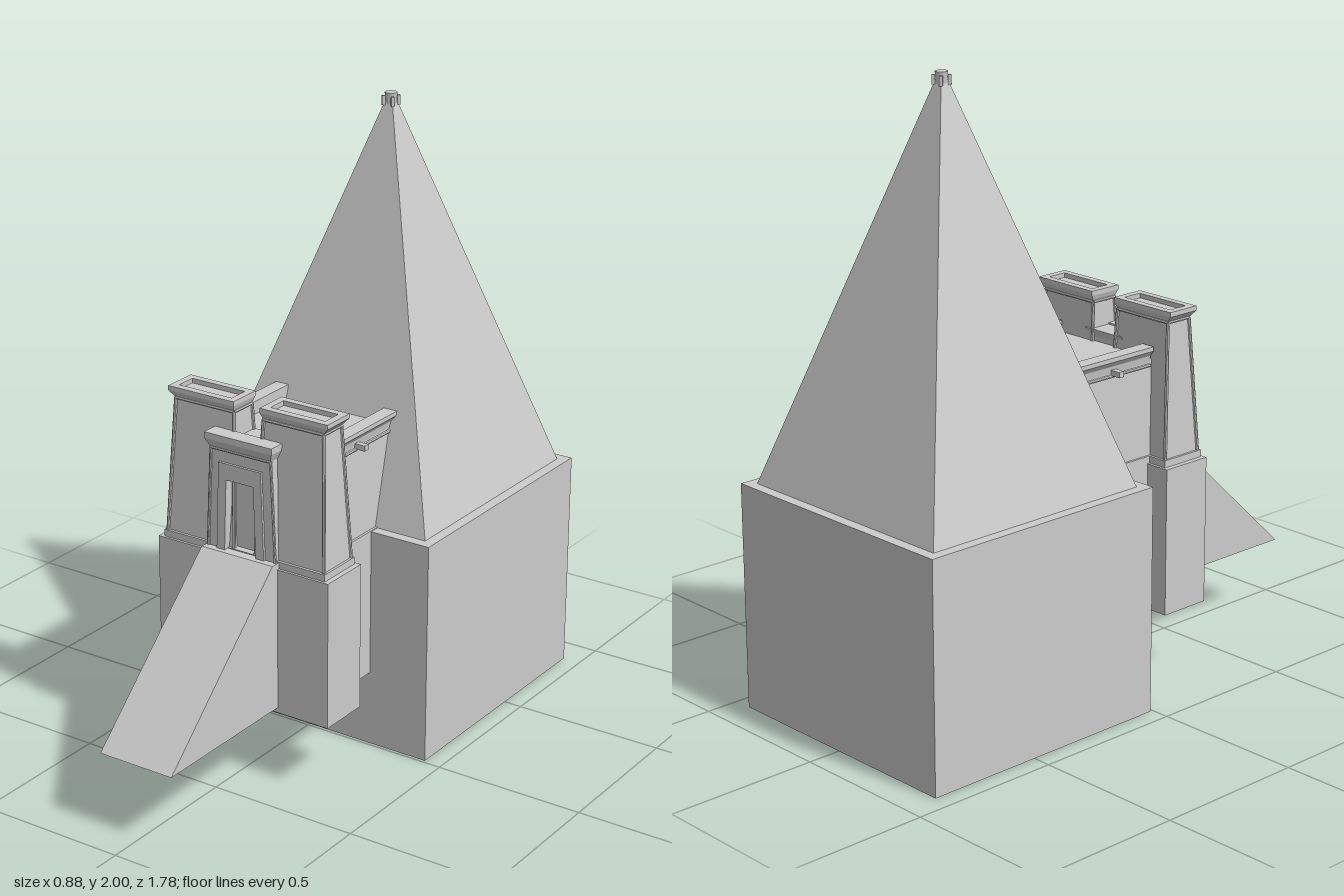
import * as THREE from 'three';

const stone = new THREE.MeshStandardMaterial({ color: 0xcccccc, flatShading: true });
const shell = new THREE.MeshStandardMaterial({ color: 0xcccccc, flatShading: true, side: THREE.DoubleSide });

function add(parent, name, geometry, material = stone) {
  const mesh = new THREE.Mesh(geometry, material);
  mesh.name = name;
  parent.add(mesh);
  return mesh;
}

// Box given by its limits on each axis
function block(parent, name, [x0, x1], [y0, y1], [z0, z1]) {
  const g = new THREE.BoxGeometry(x1 - x0, y1 - y0, z1 - z0);
  g.translate((x0 + x1) / 2, (y0 + y1) / 2, (z0 + z1) / 2);
  return add(parent, name, g);
}

// Box whose top rectangle differs from its bottom; each rectangle is [x0, x1, z0, z1]
function taper(parent, name, y0, y1, bottom, top) {
  const g = new THREE.BoxGeometry(1, 1, 1);
  const p = g.attributes.position;
  for (let i = 0; i < p.count; i++) {
    const up = p.getY(i) > 0;
    const r = up ? top : bottom;
    p.setXYZ(i, p.getX(i) < 0 ? r[0] : r[1], up ? y1 : y0, p.getZ(i) < 0 ? r[2] : r[3]);
  }
  g.computeVertexNormals();
  return add(parent, name, g);
}

// Thin round moulding between two points
function roll(parent, a, b, radius = 0.006) {
  const from = new THREE.Vector3(...a), to = new THREE.Vector3(...b);
  const dir = to.clone().sub(from);
  const mesh = add(parent, 'rollMoulding', new THREE.CylinderGeometry(radius, radius, dir.length(), 8));
  mesh.position.copy(from).add(to).multiplyScalar(0.5);
  mesh.quaternion.setFromUnitVectors(new THREE.Vector3(0, 1, 0), dir.normalize());
}

const shapeOf = pts => new THREE.Shape(pts.map(([x, y]) => new THREE.Vector2(x, y)));
const extrude = (shape, depth) => new THREE.ExtrudeGeometry(shape, { depth, bevelEnabled: false });

// Rectangular rim with an open middle, lying flat
function rim(parent, name, y0, y1, [x0, x1, z0, z1], border) {
  const rect = (b) => [[x0 + b, -z1 + b], [x1 - b, -z1 + b], [x1 - b, -z0 - b], [x0 + b, -z0 - b]];
  const s = shapeOf(rect(0));
  s.holes.push(shapeOf(rect(border)));
  const g = extrude(s, y1 - y0);
  g.rotateX(-Math.PI / 2);
  g.translate(0, y0, 0);
  return add(parent, name, g);
}

function makeTower() {
  const tower = new THREE.Group();
  tower.name = 'pylonTower';
  const low = [0.04, 0.292, 0.19, 0.333], high = [0.055, 0.272, 0.216, 0.308];
  const lip = [0.047, 0.292, 0.203, 0.318];
  taper(tower, 'towerBody', 0.735, 1.17, low, high);
  taper(tower, 'towerCornice', 1.17, 1.193, high, lip);
  rim(tower, 'towerParapet', 1.193, 1.208, lip, 0.024);
  // Roll mouldings on the corners and under the cornice
  for (const i of [0, 1]) {
    for (const k of [2, 3]) roll(tower, [low[i], 0.735, low[k]], [high[i], 1.17, high[k]]);
    roll(tower, [high[i], 1.17, high[2]], [high[i], 1.17, high[3]]);
    roll(tower, [high[0], 1.17, high[i + 2]], [high[1], 1.17, high[i + 2]]);
  }
  return tower;
}

function makeGate() {
  const gate = new THREE.Group();
  gate.name = 'gate';
  // Sloping frame with a doorway open at the foot
  const frame = shapeOf([[-0.125, 0.735], [-0.058, 0.735], [-0.05, 0.967], [0.05, 0.967],
    [0.058, 0.735], [0.125, 0.735], [0.11, 1.06], [-0.11, 1.06]]);
  const g = extrude(frame, 0.07);
  g.translate(0, 0, 0.28);
  add(gate, 'gateFrame', g);
  // Raised jambs and lintel
  const jambs = shapeOf([[-0.088, 0.735], [-0.058, 0.735], [-0.05, 0.967], [0.05, 0.967],
    [0.058, 0.735], [0.088, 0.735], [0.078, 1.02], [-0.078, 1.02]]);
  const j = extrude(jambs, 0.008);
  j.translate(0, 0, 0.35);
  add(gate, 'doorSurround', j);
  block(gate, 'doorPanel', [-0.07, 0.07], [0.735, 0.98], [0.28, 0.318]);
  taper(gate, 'gateCornice', 1.06, 1.09, [-0.11, 0.11, 0.28, 0.352], [-0.124, 0.124, 0.28, 0.366]);
  block(gate, 'gateTop', [-0.124, 0.124], [1.09, 1.11], [0.31, 0.366]);
  for (const s of [-1, 1]) roll(gate, [s * 0.125, 0.735, 0.35], [s * 0.11, 1.06, 0.35], 0.005);
  roll(gate, [-0.11, 1.06, 0.352], [0.11, 1.06, 0.352], 0.005);
  return gate;
}

export function createModel() {
  const model = new THREE.Group();
  model.name = 'pyramidWithTemple';

  // Hollow square base, open underneath
  const baseGeo = new THREE.BoxGeometry(0.88, 0.735, 0.88);
  const index = Array.from(baseGeo.index.array);
  index.splice(18, 6);
  baseGeo.setIndex(index);
  baseGeo.translate(0, 0.3675, -0.45);
  add(model, 'base', baseGeo, shell);

  // Steep pyramid
  taper(model, 'pyramid', 0.735, 1.975, [-0.405, 0.405, -0.855, -0.045], [-0.013, 0.013, -0.463, -0.437]);

  // Finial: round knob between four small corner blocks
  const finial = new THREE.Group();
  finial.name = 'finial';
  finial.position.set(0, 0, -0.45);
  model.add(finial);
  add(finial, 'knob', new THREE.CylinderGeometry(0.02, 0.016, 0.045, 12)).position.y = 1.9775;
  for (let i = 0; i < 4; i++) {
    const a = Math.PI / 4 + i * Math.PI / 2;
    const corner = add(finial, 'finialCorner', new THREE.BoxGeometry(0.01, 0.03, 0.01));
    corner.position.set(0.024 * Math.cos(a), 1.975, 0.024 * Math.sin(a));
    corner.rotation.y = -a;
  }

  const temple = new THREE.Group();
  temple.name = 'temple';
  temple.position.x = -0.003;
  model.add(temple);

  // Foundations under the hall and the pylon
  block(temple, 'hallFoundation', [-0.233, 0.233], [0.25, 0.738], [-0.68, 0.2]);
  block(temple, 'pylonFoundation', [-0.317, 0.317], [0.232, 0.715], [0.173, 0.35]);
  block(temple, 'pylonPlinth', [-0.3, 0.3], [0.715, 0.738], [0.182, 0.342]);

  // Entrance ramp
  const rampGeo = extrude(shapeOf([[0.89, 0.25], [0.375, 0.735], [0.1, 0.735], [0.1, 0.25]]), 0.265);
  rampGeo.rotateY(-Math.PI / 2);
  rampGeo.translate(0.1325, 0, 0);
  add(temple, 'ramp', rampGeo);

  // Hall with sloping walls running back into the pyramid
  taper(temple, 'hall', 0.738, 1.045, [-0.225, 0.225, -0.45, 0.24], [-0.21, 0.21, -0.45, 0.24]);
  for (const s of [-1, 1]) {
    const profile = [[0.18, 1.03], [0.21, 1.03], [0.214, 1.055], [0.228, 1.073], [0.228, 1.087], [0.18, 1.087]];
    const cornice = extrude(shapeOf(profile.map(([x, y]) => [s * x, y])), 0.65);
    cornice.translate(0, 0, -0.45);
    add(temple, 'hallParapet', cornice);
    roll(temple, [s * 0.212, 1.024, -0.42], [s * 0.212, 1.024, 0.2]);
    block(temple, 'waterSpout', s < 0 ? [-0.248, -0.2] : [0.2, 0.248], [1.026, 1.044], [0.032, 0.052]);
  }

  // Twin towers, the wall joining them and the gate in front
  const left = makeTower();
  const right = makeTower();
  right.rotation.y = Math.PI;
  right.position.z = 0.5235;
  temple.add(left, right);
  block(temple, 'pylonBridge', [-0.08, 0.08], [0.735, 1.06], [0.215, 0.3]);
  taper(temple, 'bridgeCornice', 1.06, 1.085, [-0.08, 0.08, 0.215, 0.3], [-0.08, 0.08, 0.205, 0.31]);
  temple.add(makeGate());

  return model;
}
